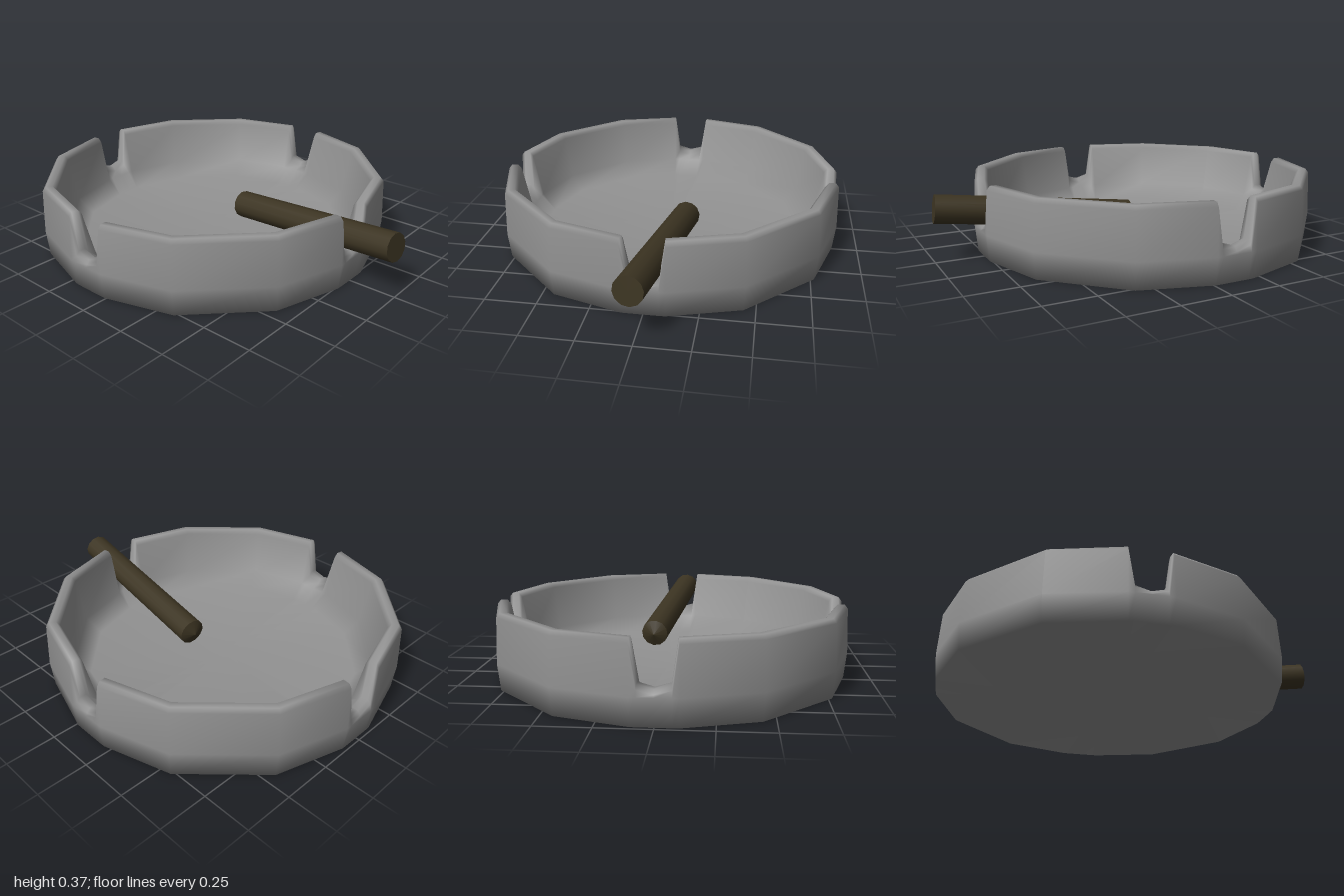
import * as THREE from 'three';

const TOP = 0.37;

// Columns round the bowl: [angle in degrees, radius, rim height].
// Each quarter holds one resting notch and two plain corners.
function bowlColumns() {
  const quarter = [
    [-6.7, 0.89, TOP], [-4.8, 0.888, 0.18], [0, 0.885, 0.16], [4.8, 0.888, 0.18], [6.7, 0.89, TOP],
    [30, 0.9, TOP], [60, 0.9, TOP],
  ];
  const columns = [];
  for (let q = 0; q < 4; q++) {
    for (const [angle, r, h] of quarter) columns.push([THREE.MathUtils.degToRad(angle + q * 90), r, h]);
  }
  return columns;
}

// Wall section from the outer foot, over the rim, to the floor: [radius factor, height]
const wallSection = (h) => [
  [0.985, 0], [1, 0.13], [0.99, h - 0.02], [0.972, h],
  [0.935, h], [0.915, h - 0.022], [0.865, 0.12], [0.78, 0.04],
];

function bowlGeometry() {
  const columns = bowlColumns();
  const rows = wallSection(TOP).length;
  const n = columns.length;
  const positions = [];
  const index = [];
  for (const [a, r, h] of columns) {
    for (const [f, y] of wallSection(h)) {
      positions.push(Math.cos(a) * r * f, y, Math.sin(a) * r * f);
    }
  }
  // Centres of the underside and the floor
  const under = n * rows;
  const floor = under + 1;
  positions.push(0, 0, 0, 0, 0.035, 0);

  for (let i = 0; i < n; i++) {
    const a = i * rows;
    const b = ((i + 1) % n) * rows;
    for (let j = 0; j < rows - 1; j++) {
      index.push(a + j, a + j + 1, b + j, b + j, a + j + 1, b + j + 1);
    }
    index.push(under, a, b);
    index.push(floor, b + rows - 1, a + rows - 1);
  }
  const geometry = new THREE.BufferGeometry();
  geometry.setAttribute('position', new THREE.Float32BufferAttribute(positions, 3));
  geometry.setIndex(index);
  geometry.computeVertexNormals();
  return geometry;
}

// Round stick between two points, with a blunt cone at the inner end
function makeStick(from, to, radius, material) {
  const group = new THREE.Group();
  group.name = 'restingStick';
  const axis = to.clone().sub(from);
  const length = axis.length();
  const sides = 12;
  const body = new THREE.Mesh(new THREE.CylinderGeometry(radius, radius, length, sides), material);
  body.name = 'stickBody';
  const tip = new THREE.Mesh(new THREE.ConeGeometry(radius, 0.03, sides), material);
  tip.name = 'stickTip';
  tip.rotation.x = Math.PI;
  tip.position.y = -length / 2 - 0.015;
  group.add(body, tip);
  group.position.copy(from).lerp(to, 0.5);
  group.quaternion.setFromUnitVectors(new THREE.Vector3(0, 1, 0), axis.normalize());
  return group;
}

export function createModel() {
  const model = new THREE.Group();
  model.name = 'ashtray';

  // Notched bowl
  const grey = new THREE.MeshStandardMaterial({ color: 0x929292 });
  const bowl = new THREE.Mesh(bowlGeometry(), grey);
  bowl.name = 'bowl';
  bowl.position.x = -0.11;
  model.add(bowl);

  // Stick lying through the notch on the left
  const brown = new THREE.MeshStandardMaterial({ color: 0x3c3422 });
  model.add(makeStick(
    new THREE.Vector3(0.02, 0.155, -0.1), new THREE.Vector3(0.99, 0.26, 0.015), 0.07, brown,
  ));
  return model;
}
